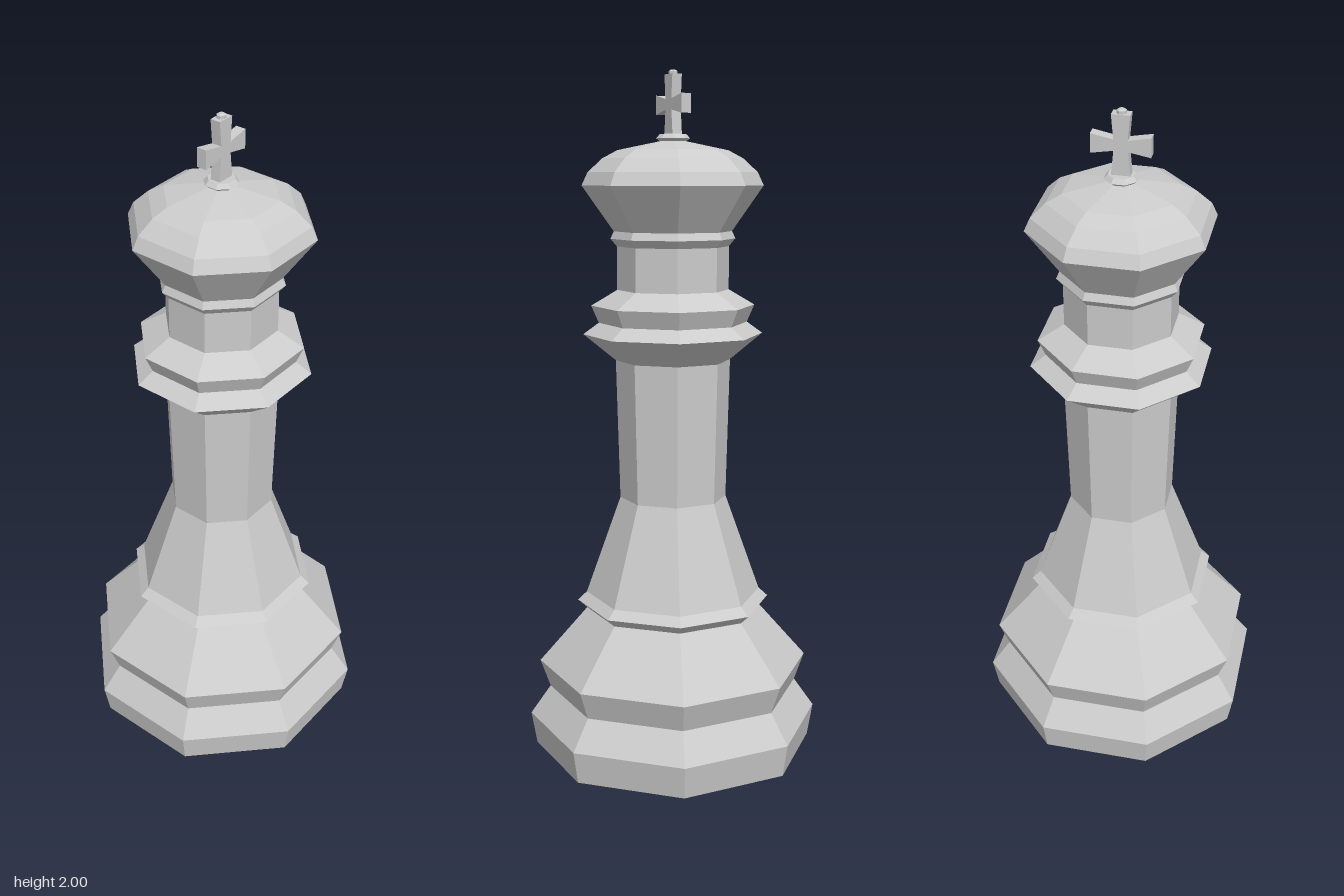
import * as THREE from 'three';

const SIDES = 8;
const material = new THREE.MeshStandardMaterial({ color: 0xcccccc, flatShading: true });

// Octagonal turning; the profile gives [distance to flat side, height], bottom to top
function turned(name, profile) {
  const k = 1 / Math.cos(Math.PI / SIDES);
  const points = profile.map(([r, y]) => new THREE.Vector2(r * k, y));
  const geometry = new THREE.LatheGeometry(points, SIDES, Math.PI / SIDES);
  const mesh = new THREE.Mesh(geometry, material);
  mesh.name = name;
  return mesh;
}

export function createModel() {
  const group = new THREE.Group();
  group.name = 'chessKing';

  // Stepped foot
  group.add(turned('base', [
    [0, 0], [0.385, 0], [0.4, 0.095], [0.345, 0.18], [0.372, 0.262],
    [0.24, 0.425], [0.265, 0.45], [0.24, 0.475],
  ]));

  // Flared stem
  group.add(turned('stem', [[0.24, 0.475], [0.145, 0.765], [0.155, 1.175]]));

  // Double collar and neck
  group.add(turned('collar', [
    [0.155, 1.175], [0.242, 1.252], [0.2, 1.285], [0.22, 1.335], [0.15, 1.38],
  ]));
  group.add(turned('neck', [
    [0.15, 1.38], [0.15, 1.505], [0.167, 1.527], [0.158, 1.548],
  ]));

  // Flared crown with a domed top
  group.add(turned('crown', [
    [0.158, 1.548], [0.242, 1.678], [0.226, 1.715], [0.187, 1.754],
    [0.147, 1.777], [0.035, 1.802], [0, 1.802],
  ]));

  // Small ring under the cross
  group.add(turned('finialRing', [
    [0.03, 1.798], [0.045, 1.81], [0.035, 1.822], [0, 1.822],
  ]));

  // Cross with flared arms; right half outline is mirrored to the left
  const half = [
    [0.026, 1.818], [0.019, 1.889], [0.08, 1.878], [0.08, 1.932],
    [0.019, 1.92], [0.025, 1.988],
  ];
  const outline = [...half, ...half.map(([x, y]) => [-x, y]).reverse()];
  const shape = new THREE.Shape(outline.map(([x, y]) => new THREE.Vector2(x, y)));
  const depth = 0.03;
  const crossGeometry = new THREE.ExtrudeGeometry(shape, { depth, bevelEnabled: false });
  crossGeometry.translate(0, 0, -depth / 2);
  const cross = new THREE.Mesh(crossGeometry, material);
  cross.name = 'cross';
  group.add(cross);

  // Tiny knob on top of the cross
  group.add(turned('knob', [[0.012, 1.985], [0.012, 1.996], [0.006, 2], [0, 2]]));

  return group;
}
